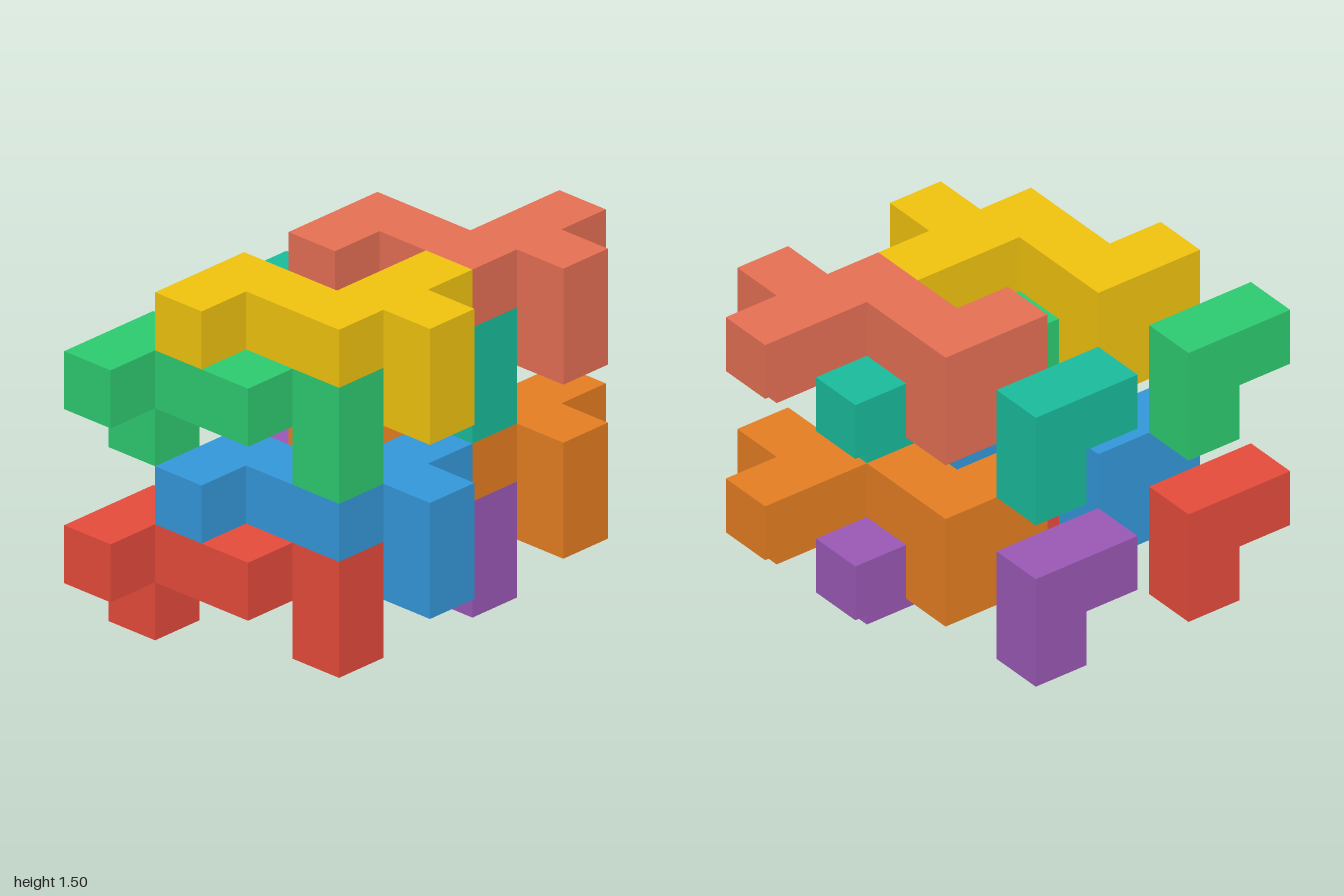
import * as THREE from 'three';
import { mergeGeometries } from 'three/addons/utils/BufferGeometryUtils.js';

const CELL = 0.25;

// Cells [x, y, z] of the one interlocking shape: a crooked slab with two legs
const CELLS = [
  [0, 1, 0], [1, 1, 0], [1, 1, 1], [1, 1, 2], [2, 1, 2], [3, 1, 2], [2, 1, 3],
  [1, 0, 0], [2, 0, 3],
];

// Face directions, with the rotation that turns a +z plane towards each
const FACES = [
  { dir: [0, 0, 1], rot: [0, 0] },
  { dir: [0, 0, -1], rot: [0, Math.PI] },
  { dir: [1, 0, 0], rot: [0, Math.PI / 2] },
  { dir: [-1, 0, 0], rot: [0, -Math.PI / 2] },
  { dir: [0, 1, 0], rot: [-Math.PI / 2, 0] },
  { dir: [0, -1, 0], rot: [Math.PI / 2, 0] },
];

// Outer skin of the shape: one square wherever a cell has no neighbour
function pieceGeometry() {
  const filled = new Set(CELLS.map(String));
  const squares = [];
  for (const cell of CELLS) {
    for (const { dir, rot } of FACES) {
      if (filled.has(String(cell.map((c, a) => c + dir[a])))) continue;
      const square = new THREE.PlaneGeometry(CELL, CELL).rotateX(rot[0]).rotateY(rot[1]);
      square.translate(...cell.map((c, a) => (c + 0.5 + dir[a] / 2) * CELL));
      squares.push(square);
    }
  }
  return mergeGeometries(squares);
}

// Name, colour and grid offset of each copy
const PIECES = [
  ['lowerBackRightPiece', 0xe74c3c, [0, 0, 0]],
  ['lowerBackLeftPiece', 0x9b59b6, [3, 0, 0]],
  ['lowerFrontRightPiece', 0x3498db, [1, 1, 1]],
  ['lowerFrontLeftPiece', 0xe67e22, [4, 1, 1]],
  ['upperBackRightPiece', 0x2ecc71, [0, 3, 0]],
  ['upperBackLeftPiece', 0x1abc9c, [3, 3, 0]],
  ['upperFrontRightPiece', 0xf1c40f, [1, 4, 1]],
  ['upperFrontLeftPiece', 0xe67055, [4, 4, 1]],
];

export function createModel() {
  const group = new THREE.Group();
  group.name = 'interlockingBlocks';
  const geometry = pieceGeometry();
  for (const [name, color, [x, y, z]] of PIECES) {
    const mesh = new THREE.Mesh(geometry, new THREE.MeshStandardMaterial({ color }));
    mesh.name = name;
    mesh.position.set((x - 4) * CELL, y * CELL, (z - 2.5) * CELL);
    group.add(mesh);
  }
  return group;
}
